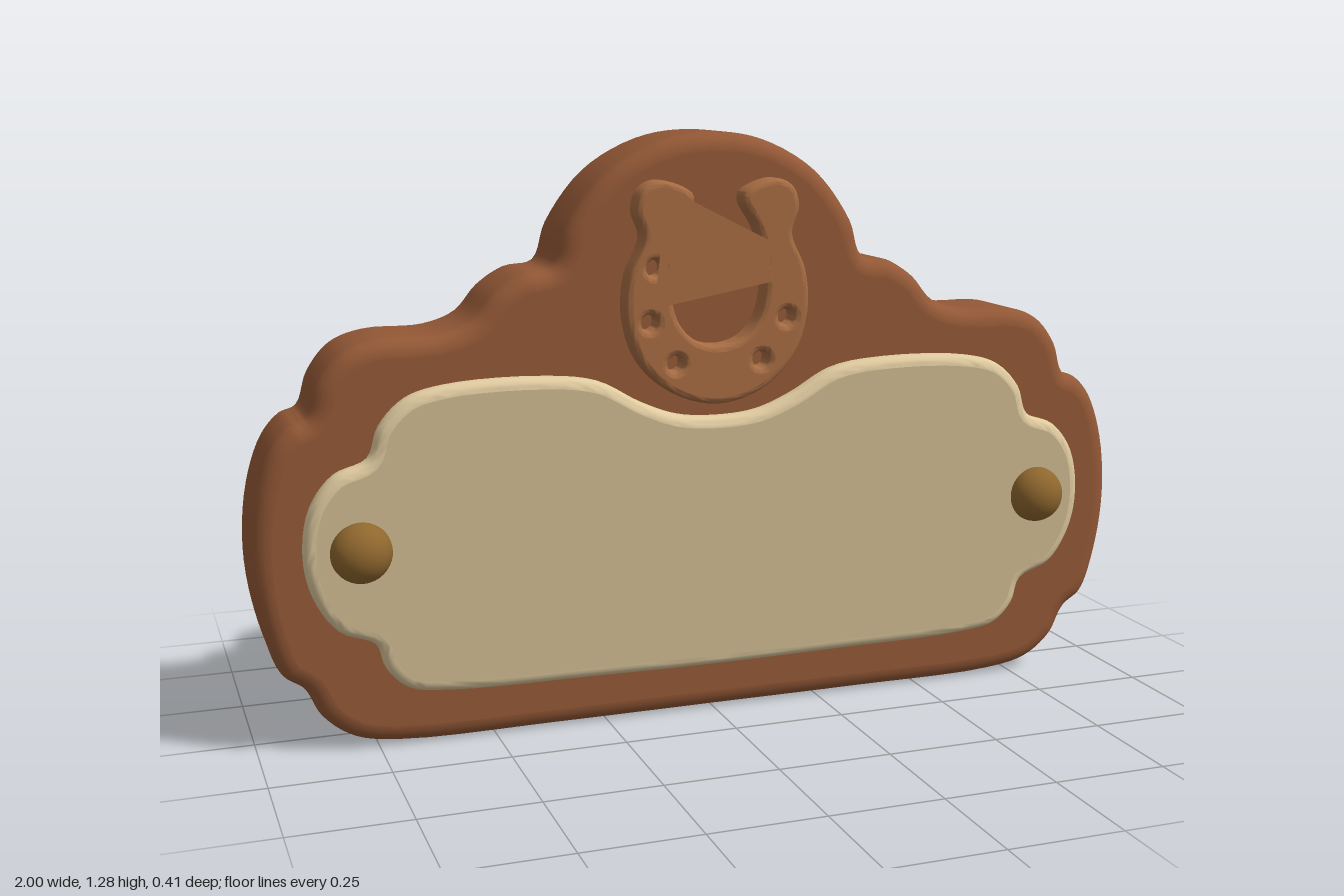
import * as THREE from 'three';
import { toCreasedNormals } from 'three/addons/utils/BufferGeometryUtils.js';

const material = (name, color) => new THREE.MeshStandardMaterial({ name, color });

// Mirror a half outline (bottom centre to top centre) and smooth it into a closed loop
function mirroredLoop(half, cx = 0) {
  const left = half.slice(1, -1).reverse().map(([x, y]) => [-x, y]);
  const points = [...half, ...left].map(([x, y]) => new THREE.Vector3(x + cx, y, 0));
  const curve = new THREE.CatmullRomCurve3(points, true, 'centripetal');
  return curve.getPoints(points.length * 5).slice(0, -1).map(p => new THREE.Vector2(p.x, p.y));
}

// Slab centred on z = 0 with rounded edges that stay inside the outline
function roundedSlab(shape, halfDepth, bevel) {
  const geometry = new THREE.ExtrudeGeometry(shape, {
    depth: 2 * (halfDepth - bevel), bevelEnabled: true, bevelThickness: bevel,
    bevelSize: bevel, bevelOffset: -bevel, bevelSegments: 5, curveSegments: 12,
  });
  geometry.translate(0, 0, bevel - halfDepth);
  const smooth = toCreasedNormals(geometry, 0.7);
  // Keep the front and back faces perfectly flat
  const { position, normal } = smooth.attributes;
  for (const g of smooth.groups.filter(g => g.materialIndex === 0)) {
    for (let i = g.start; i < g.start + g.count; i++) normal.setXYZ(i, 0, 0, Math.sign(position.getZ(i)));
  }
  return smooth;
}

export function createModel() {
  const model = new THREE.Group();
  model.name = 'signboard';
  const wood = material('brown wood', 0x935836);
  const face = material('parchment', 0xd0ba8f);
  const rim = material('pale parchment edge', 0xdfca9f);
  const copper = material('light brown horseshoe', 0xa66c43);
  const brass = material('dark brass', 0x8f672e);

  const add = (name, geometry, mat) => {
    const mesh = new THREE.Mesh(geometry, mat);
    mesh.name = name;
    model.add(mesh);
    return mesh;
  };

  // Scalloped wooden board
  const board = mirroredLoop([
    [0, 0.006], [0.35, 0.006], [0.7, 0.01], [0.8, 0.03], [0.865, 0.08], [0.9, 0.145], [0.945, 0.18],
    [0.98, 0.28], [0.998, 0.42], [0.985, 0.56], [0.95, 0.66], [0.91, 0.705], [0.875, 0.72],
    [0.85, 0.79], [0.8, 0.85], [0.73, 0.875], [0.6, 0.88], [0.53, 0.905], [0.48, 0.96],
    [0.42, 0.997], [0.355, 1.01], [0.325, 1.09], [0.24, 1.2], [0.12, 1.267], [0, 1.285],
  ]);
  add('board', roundedSlab(new THREE.Shape(board), 0.115, 0.04), wood);

  // Raised panel showing on both sides
  const panel = mirroredLoop([
    [0, 0.115], [0.3, 0.118], [0.6, 0.124], [0.69, 0.14], [0.735, 0.185], [0.755, 0.24], [0.83, 0.275],
    [0.88, 0.35], [0.897, 0.44], [0.88, 0.54], [0.83, 0.605], [0.76, 0.635], [0.735, 0.7],
    [0.68, 0.755], [0.6, 0.778], [0.4, 0.785], [0.27, 0.768], [0.17, 0.715], [0.09, 0.685], [0, 0.677],
  ]);
  add('panel', roundedSlab(new THREE.Shape(panel), 0.148, 0.024), [face, rim]);

  // Horseshoe: outer edge up to the tip, then back down the inner edge
  const outerAndInner = [
    [0, 0.708], [0.1, 0.735], [0.175, 0.805], [0.206, 0.9], [0.2, 0.99], [0.168, 1.07], [0.184, 1.125],
    [0.17, 1.17], [0.13, 1.188], [0.06, 1.162], [0.055, 1.14], [0.088, 1.08],
    [0.107, 0.98], [0.093, 0.895], [0.055, 0.85], [0, 0.835],
  ];
  const shoe = new THREE.Shape(mirroredLoop(outerAndInner, -0.008));
  for (const [x, y] of [[0.143, 1.005], [0.155, 0.89], [0.097, 0.8]]) {
    for (const side of [-1, 1]) {
      shoe.holes.push(new THREE.Path().absarc(side * x - 0.008, y, 0.018, 0, Math.PI * 2, true));
    }
  }
  add('horseshoe', roundedSlab(shoe, 0.164, 0.014), copper);

  // Domed studs on both sides
  for (const x of [-0.782, 0.78]) {
    for (const z of [-1, 1]) {
      const stud = add('stud', new THREE.SphereGeometry(0.064, 32, 20), brass);
      stud.position.set(x, 0.445, z * 0.147);
      stud.scale.z = 0.9;
    }
  }
  return model;
}
